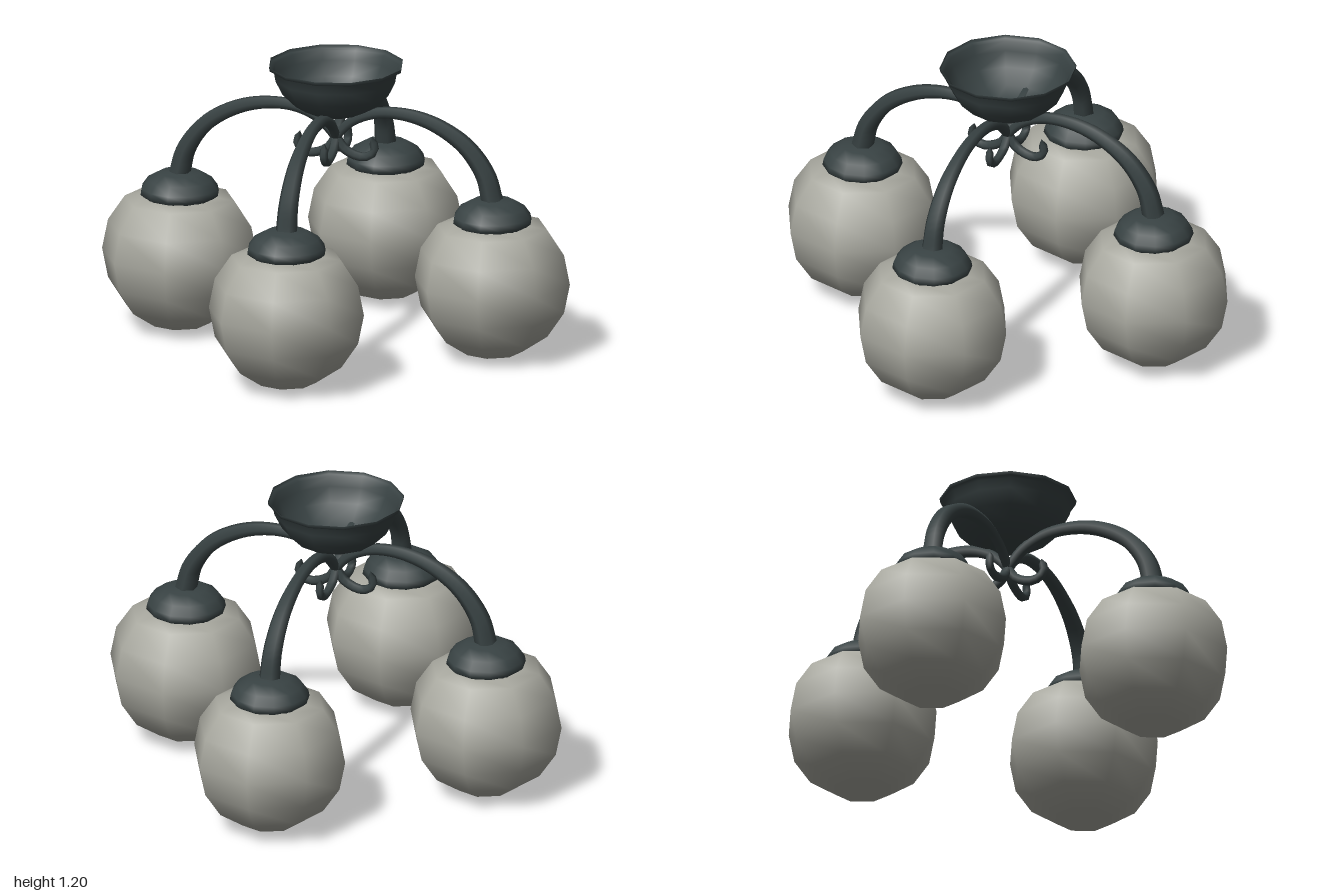
import * as THREE from 'three';

const v2 = (list) => list.map(([x, y]) => new THREE.Vector2(x, y));

// Tube along a curve whose radius varies with t
function taperedTube(curve, segments, sides, radiusAt) {
  const geo = new THREE.TubeGeometry(curve, segments, 1, sides);
  const pos = geo.attributes.position;
  const p = new THREE.Vector3();
  for (let i = 0; i <= segments; i++) {
    const c = curve.getPointAt(i / segments);
    const r = radiusAt(i / segments);
    for (let j = 0; j <= sides; j++) {
      const k = i * (sides + 1) + j;
      p.fromBufferAttribute(pos, k).sub(c).multiplyScalar(r).add(c);
      pos.setXYZ(k, p.x, p.y, p.z);
    }
  }
  return geo;
}

export function createModel() {
  const model = new THREE.Group();
  model.name = 'ceilingLamp';

  const metal = new THREE.MeshStandardMaterial({ color: 0x384243, side: THREE.DoubleSide });
  metal.name = 'dark metal';
  const glass = new THREE.MeshStandardMaterial({ color: 0xa9a9a0, side: THREE.DoubleSide });
  glass.name = 'frosted glass';

  const add = (parent, geo, mat, name) => {
    const mesh = new THREE.Mesh(geo, mat);
    mesh.name = name;
    parent.add(mesh);
    return mesh;
  };

  // Open ceiling bowl with a small lip
  const bowl = new THREE.LatheGeometry(v2([
    [0, 0.985], [0.1, 0.992], [0.17, 1.025], [0.225, 1.08], [0.255, 1.14],
    [0.262, 1.18], [0.28, 1.185], [0.282, 1.2],
  ]), 12);
  add(model, bowl, metal, 'ceilingBowl');

  // Globe: eight-sided sphere with its top cut off
  const R = 0.325;
  const globeProfile = [];
  for (let i = 0; i <= 6; i++) {
    const a = (i * Math.PI) / 8;
    globeProfile.push([R * Math.sin(a), 0.33 - R * Math.cos(a)]);
  }
  globeProfile.push([0.15, 0.572]);
  const globeGeo = new THREE.LatheGeometry(v2(globeProfile), 8, 0.12);

  // Holder cap above the globe
  const capGeo = new THREE.LatheGeometry(v2([
    [0.14, 0.565], [0.165, 0.585], [0.16, 0.61], [0.135, 0.645], [0.085, 0.673], [0, 0.68],
  ]), 12);

  // Arm sweeping over, under the bowl, and ending in a hook on the far side
  const path = new THREE.CatmullRomCurve3([
    [0.675, 0.67], [0.645, 0.78], [0.56, 0.895], [0.43, 0.975], [0.3, 1.008], [0.17, 1.003],
    [0.07, 0.96], [0.01, 0.9], [-0.04, 0.835], [-0.12, 0.81], [-0.165, 0.837], [-0.155, 0.9],
  ].map(([x, y]) => new THREE.Vector3(x, y, 0)));
  const armGeo = taperedTube(path, 44, 6, (t) => {
    if (t === 1) return 0;
    return t < 0.5 ? THREE.MathUtils.lerp(0.046, 0.026, t / 0.5)
      : THREE.MathUtils.lerp(0.026, 0.017, (t - 0.5) / 0.5);
  });

  // Four identical branches
  for (let i = 0; i < 4; i++) {
    const branch = new THREE.Group();
    branch.name = 'branch' + (i + 1);
    branch.rotation.y = (i * Math.PI) / 2;
    add(branch, armGeo, metal, 'armWithHook');
    add(branch, capGeo, metal, 'globeHolder').position.x = 0.675;
    add(branch, globeGeo, glass, 'globe').position.x = 0.675;
    model.add(branch);
  }
  return model;
}
